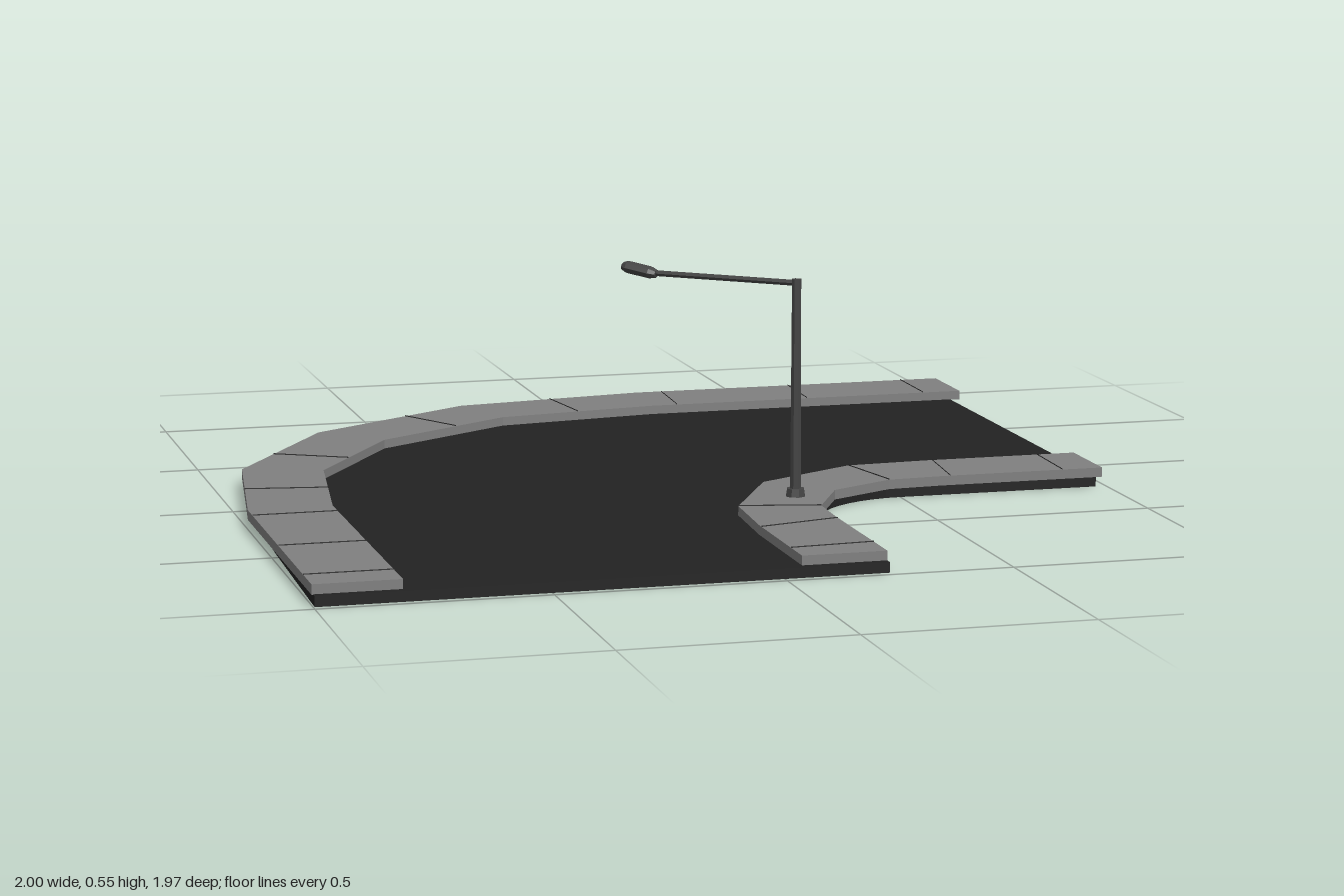
import * as THREE from 'three';

const material = (color) => new THREE.MeshStandardMaterial({ color, flatShading: true });
const roadMat = material(0x222222);
const paveMat = material(0x808080);
const lampMat = material(0x444444);
const seamMat = new THREE.MeshStandardMaterial({ color: 0x333333, side: THREE.DoubleSide });

function add(group, name, geometry, mat) {
  const mesh = new THREE.Mesh(geometry, mat);
  mesh.name = name;
  group.add(mesh);
  return mesh;
}

// Extrudes a plan outline of [x, z] points upwards from y0 to y1
function slab(points, y0, y1) {
  const shape = new THREE.Shape(points.map(([x, z]) => new THREE.Vector2(x, -z)));
  return new THREE.ExtrudeGeometry(shape, { depth: y1 - y0, bevelEnabled: false })
    .rotateX(-Math.PI / 2).translate(0, y0, 0);
}

// Quarter arc in plan, from the -z side round to the -x side
function arc(cx, cz, r, n) {
  return Array.from({ length: n + 1 }, (_, i) => {
    const a = (i / n) * Math.PI / 2;
    return [cx - r * Math.sin(a), cz - r * Math.cos(a)];
  });
}

// Paving between two edge lines, with thin upright joints across it
function pavement(name, outer, inner, joints) {
  const group = new THREE.Group();
  group.name = name;
  add(group, name + 'Slab', slab([...outer, ...[...inner].reverse()], 0.022, 0.044), paveMat);
  const at = (line, s) => {
    const i = Math.min(Math.floor(s), line.length - 2), t = s - i;
    return [0, 1].map((k) => line[i][k] * (1 - t) + line[i + 1][k] * t);
  };
  for (const s of joints) {
    const [a, b] = [at(outer, s), at(inner, s)];
    const length = Math.hypot(b[0] - a[0], b[1] - a[1]);
    const joint = add(group, 'pavingJoint', new THREE.PlaneGeometry(length, 0.004), seamMat);
    joint.position.set((a[0] + b[0]) / 2, 0.0445, (a[1] + b[1]) / 2);
    joint.rotation.y = -Math.atan2(b[1] - a[1], b[0] - a[0]);
  }
  return group;
}

function streetLamp() {
  const lamp = new THREE.Group();
  lamp.name = 'streetLamp';
  add(lamp, 'lampBase', new THREE.CylinderGeometry(0.02, 0.023, 0.018, 8), lampMat).position.y = 0.053;
  add(lamp, 'lampPole', new THREE.CylinderGeometry(0.011, 0.013, 0.49, 8), lampMat).position.y = 0.29;
  // Arm and head run along local +x
  const arm = new THREE.CylinderGeometry(0.007, 0.007, 0.35, 6).rotateZ(Math.PI / 2);
  add(lamp, 'lampArm', arm, lampMat).position.set(0.175, 0.526, 0);
  const profile = [[0, -0.042], [0.012, -0.042], [0.019, -0.026], [0.019, 0.03], [0.012, 0.042], [0, 0.042]]
    .map(([r, y]) => new THREE.Vector2(r, y));
  const head = add(lamp, 'lampHead',
    new THREE.LatheGeometry(profile, 8).rotateZ(-Math.PI / 2).scale(1, 0.75, 1), lampMat);
  head.position.set(0.385, 0.531, 0);
  head.rotation.z = 0.16;
  lamp.position.set(0.21, 0, 0.365);
  lamp.rotation.y = Math.PI - Math.atan2(0.27, 0.32);
  return lamp;
}

export function createModel() {
  const model = new THREE.Group();
  model.name = 'roadCorner';

  // Curved carriageway
  const road = [
    [0.975, -0.985], ...arc(0.47, 0.47, 1.455, 20), [-0.997, 0.982],
    [0.23, 0.982], ...arc(0.5, 0.5, 0.265, 12).reverse(), [0.975, 0.237],
  ];
  add(model, 'road', slab(road, 0, 0.023), roadMat);

  // Pavements on both sides of the bend
  model.add(pavement('outerPavement',
    [[1, -0.99], [0.2, -0.99], [-0.27, -0.925], [-0.68, -0.665], [-0.935, -0.26], [-1, 0.2], [-1, 0.965]],
    [[1, -0.8], [0.19, -0.8], [-0.205, -0.745], [-0.545, -0.53], [-0.755, -0.2], [-0.81, 0.2], [-0.81, 0.965]],
    [0.12, 0.5, 0.92, 1.5, 2.4, 3.6, 4.5, 5.08, 5.5, 5.88]));
  model.add(pavement('innerPavement',
    [[0.99, 0.05], [0.62, 0.05], [0.43, 0.06], [0.185, 0.195], [0.055, 0.44], [0.042, 0.65], [0.042, 0.965]],
    [[0.99, 0.237], [0.6, 0.237], [0.47, 0.245], [0.315, 0.325], [0.235, 0.48], [0.23, 0.6], [0.23, 0.965]],
    [0.25, 0.95, 2, 4, 5.05, 5.75]));

  model.add(streetLamp());
  return model;
}
